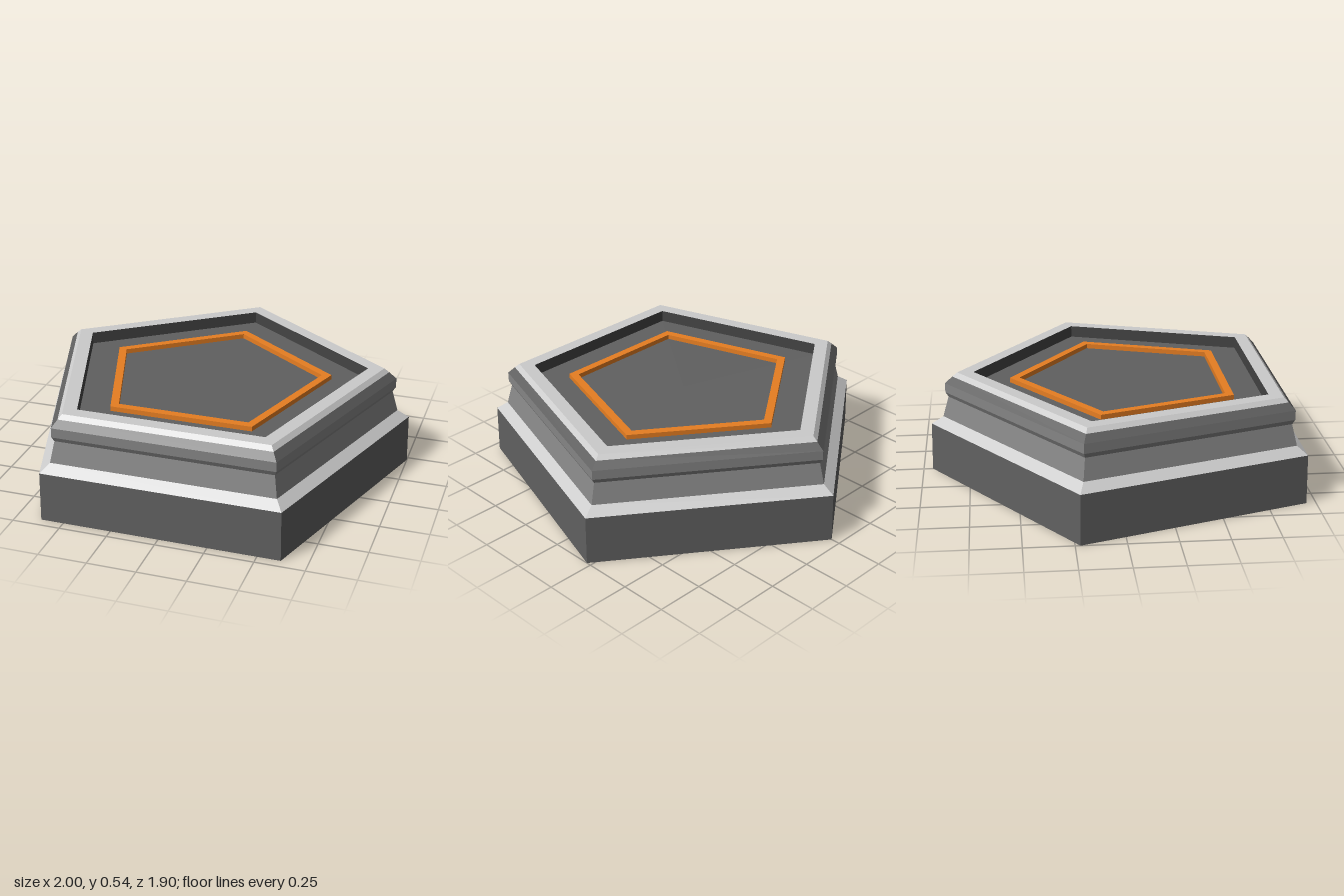
import * as THREE from 'three';

const CORNER = Math.sin(Math.PI * 2 / 5); // half-width of a unit pentagon
const FLOOR = 0.48;
const DARK = 0x606060, MID = 0x858585, LIGHT = 0xcccccc;

// Sweep a [half-width, height] profile around a five-sided plan, one corner at the back
function pentagon(name, color, profile) {
  const points = profile.map(([x, y]) => new THREE.Vector2(x / CORNER, y));
  const geometry = new THREE.LatheGeometry(points, 5, Math.PI, Math.PI * 2);
  const mesh = new THREE.Mesh(geometry, new THREE.MeshStandardMaterial({ color, flatShading: true }));
  mesh.name = name;
  mesh.position.z = 0.1; // centres the plan's depth on z = 0
  return mesh;
}

export function createModel() {
  const group = new THREE.Group();
  group.name = 'pentagonalPlinth';
  group.add(
    // Underside and heavy foot
    pentagon('baseSlab', DARK, [[0, 0], [1, 0], [0.995, 0.26]]),
    pentagon('ledge', LIGHT, [[0.995, 0.26], [0.935, 0.3]]),
    // Tapered waist and the bulging moulding above it
    pentagon('waist', MID, [[0.935, 0.3], [0.905, 0.41]]),
    pentagon('lip', MID, [[0.905, 0.41], [0.92, 0.435], [0.92, 0.485]]),
    pentagon('lipChamfer', DARK, [[0.92, 0.485], [0.882, 0.521]]),
    // Pale rim around the sunken panel
    pentagon('rim', LIGHT, [[0.882, 0.521], [0.857, 0.543], [0.776, 0.543]]),
    pentagon('recessWall', 0x444444, [[0.776, 0.543], [0.776, FLOOR]]),
    pentagon('recessedPanel', DARK, [[0.776, FLOOR], [0, FLOOR]]),
    // Raised orange inlay on the panel
    pentagon('inlayRing', 0xe67e22, [
      [0.595, FLOOR], [0.595, FLOOR + 0.025], [0.547, FLOOR + 0.025], [0.547, FLOOR],
    ]),
  );
  return group;
}
